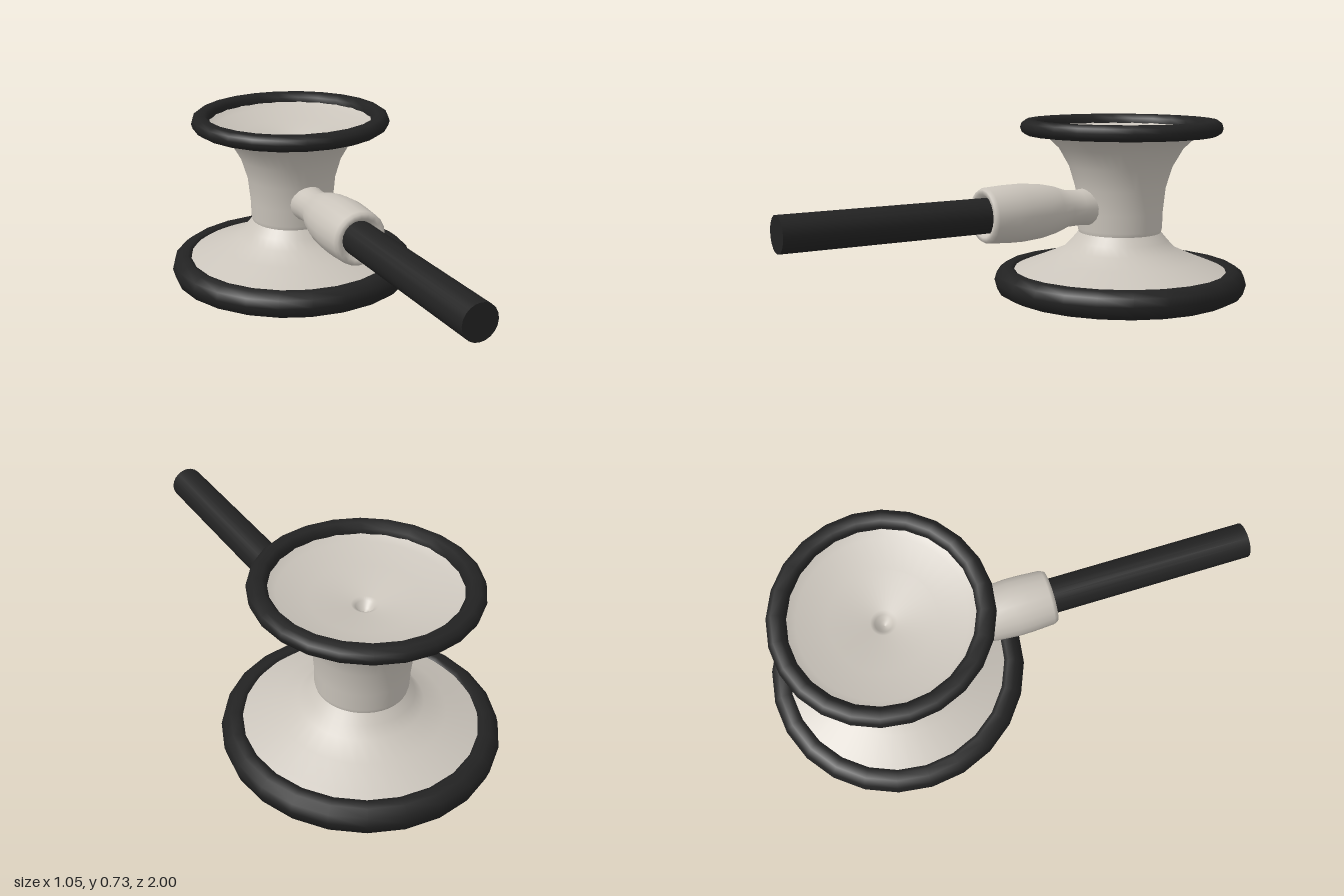
import * as THREE from 'three';

const HEAD_Z = -0.475; // axis of the chest piece
const TUBE_Y = 0.38;   // height of the stem and tube

const metal = new THREE.MeshStandardMaterial({ color: 0xcac4bb });
metal.name = 'warm grey metal';
const rubber = new THREE.MeshStandardMaterial({ color: 0x222222 });
rubber.name = 'black rubber';

// Revolve an [radius, height] profile; a repeated point makes a sharp edge
function lathe(name, profile, segments, material) {
  const geometry = new THREE.LatheGeometry(profile.map(([r, y]) => new THREE.Vector2(r, y)), segments);
  geometry.normalizeNormals();
  const mesh = new THREE.Mesh(geometry, material);
  mesh.name = name;
  return mesh;
}

export function createModel() {
  const model = new THREE.Group();
  model.name = 'stethoscopeChestPiece';

  const head = new THREE.Group();
  head.name = 'head';
  head.position.z = HEAD_Z;
  model.add(head);

  // Spool-shaped body with a shallow dish and a dimple at both ends
  head.add(lathe('body', [
    [0, 0.1], [0.02, 0.095], [0.034, 0.07], [0.05, 0.062], [0.2, 0.046], [0.34, 0.03], [0.45, 0.022],
    [0.45, 0.022], [0.46, 0.06], [0.455, 0.1],
    [0.455, 0.1], [0.42, 0.114], [0.32, 0.154], [0.235, 0.192], [0.2, 0.23], [0.172, 0.264],
    [0.172, 0.264], [0.176, 0.28], [0.178, 0.35], [0.188, 0.45], [0.215, 0.54], [0.258, 0.615], [0.315, 0.67], [0.37, 0.69],
    [0.37, 0.69], [0.37, 0.705],
    [0.37, 0.705], [0.345, 0.695], [0.315, 0.676], [0.2, 0.648], [0.05, 0.62], [0.034, 0.612], [0.02, 0.588], [0, 0.582],
  ], 40, metal));

  // Rubber rims
  head.add(lathe('bellRim', [
    [0.345, 0.69], [0.362, 0.67], [0.395, 0.67], [0.412, 0.682], [0.418, 0.701],
    [0.412, 0.72], [0.395, 0.732], [0.362, 0.732], [0.345, 0.715], [0.345, 0.69],
  ], 24, rubber));
  head.add(lathe('diaphragmRim', [
    [0.39, 0.03], [0.405, 0.008], [0.43, 0], [0.475, 0], [0.515, 0.02], [0.526, 0.06],
    [0.517, 0.092], [0.49, 0.113], [0.46, 0.114], [0.445, 0.108], [0.44, 0.09], [0.39, 0.03],
  ], 24, rubber));

  // Stem and tube run along z
  const stem = new THREE.Group();
  stem.name = 'stemAssembly';
  stem.position.y = TUBE_Y;
  stem.rotation.x = Math.PI / 2;
  model.add(stem);

  stem.add(lathe('stem', [
    [0.074, -0.34], [0.078, -0.31], [0.073, -0.26], [0.075, -0.2], [0.095, -0.14], [0.109, -0.07],
    [0.116, 0.02], [0.115, 0.08], [0.11, 0.165], [0.102, 0.181], [0.085, 0.181], [0.073, 0.165], [0.066, 0.15],
  ], 20, metal));

  const tube = new THREE.Mesh(new THREE.CylinderGeometry(0.07, 0.07, 0.88, 20), rubber);
  tube.name = 'tube';
  tube.position.y = 0.56;
  stem.add(tube);

  return model;
}
